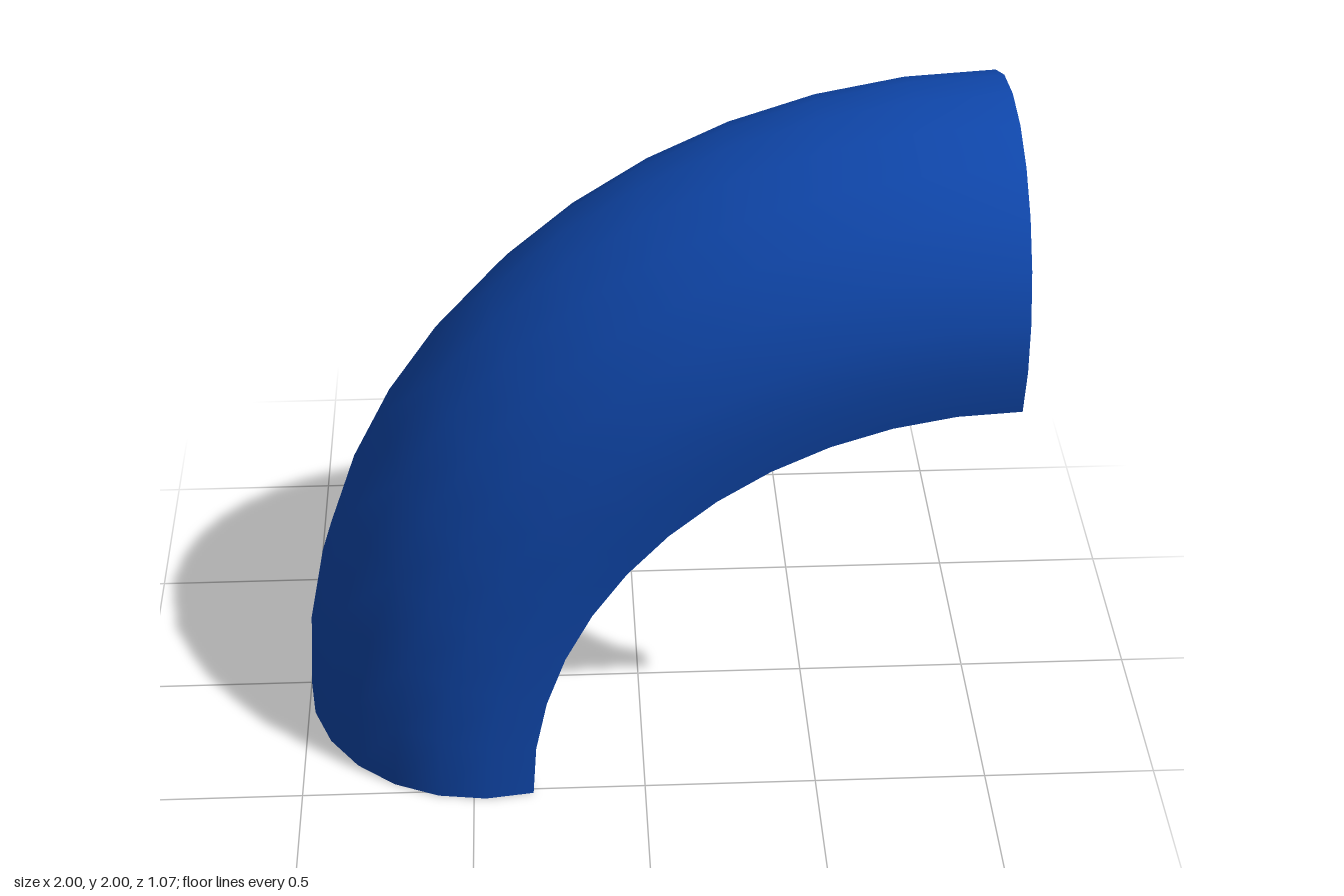
import * as THREE from 'three';
import { mergeGeometries } from 'three/addons/utils/BufferGeometryUtils.js';

const BEND = 1.465;   // bend axis to tube centre
const OUTER = 0.535;
const INNER = 0.475;
const ARC_STEPS = 14; // 210 degree open section in 15 degree steps
const BEND_STEPS = 12;

// Open arc across the section: x = distance from the bend axis, y = depth
function sectionArc(radius) {
  return Array.from({ length: ARC_STEPS + 1 }, (_, i) => {
    const a = THREE.MathUtils.degToRad(-15 + 15 * i);
    return new THREE.Vector2(BEND + radius * Math.sin(a), -radius * Math.cos(a));
  });
}

// Sweep a profile through the quarter bend around (1, 0)
function sweep(profile) {
  return new THREE.LatheGeometry(profile, BEND_STEPS, Math.PI, Math.PI / 2)
    .rotateX(Math.PI / 2)
    .translate(1, 0, 0);
}

export function createModel() {
  const group = new THREE.Group();
  group.name = 'halfPipeElbow';
  const material = new THREE.MeshStandardMaterial({ color: 0x1049b0 });
  const add = (name, geometry) => {
    const mesh = new THREE.Mesh(geometry, material);
    mesh.name = name;
    group.add(mesh);
  };

  const outer = sectionArc(OUTER);
  const inner = sectionArc(INNER).reverse();

  // Curved walls
  add('outerWall', sweep(outer));
  add('innerWall', sweep(inner));

  // Long edges of the opening
  add('openingRims', mergeGeometries([
    sweep([outer[ARC_STEPS], inner[0]]),
    sweep([inner[ARC_STEPS], outer[0]]),
  ]));

  // Flat end faces
  const section = new THREE.Shape([...outer, ...inner]);
  add('lowerEnd', new THREE.ShapeGeometry(section)
    .rotateX(Math.PI / 2).rotateY(Math.PI).translate(1, 0, 0));
  add('upperEnd', new THREE.ShapeGeometry(section)
    .rotateY(Math.PI / 2).rotateX(Math.PI / 2).translate(1, 0, 0));

  return group;
}
